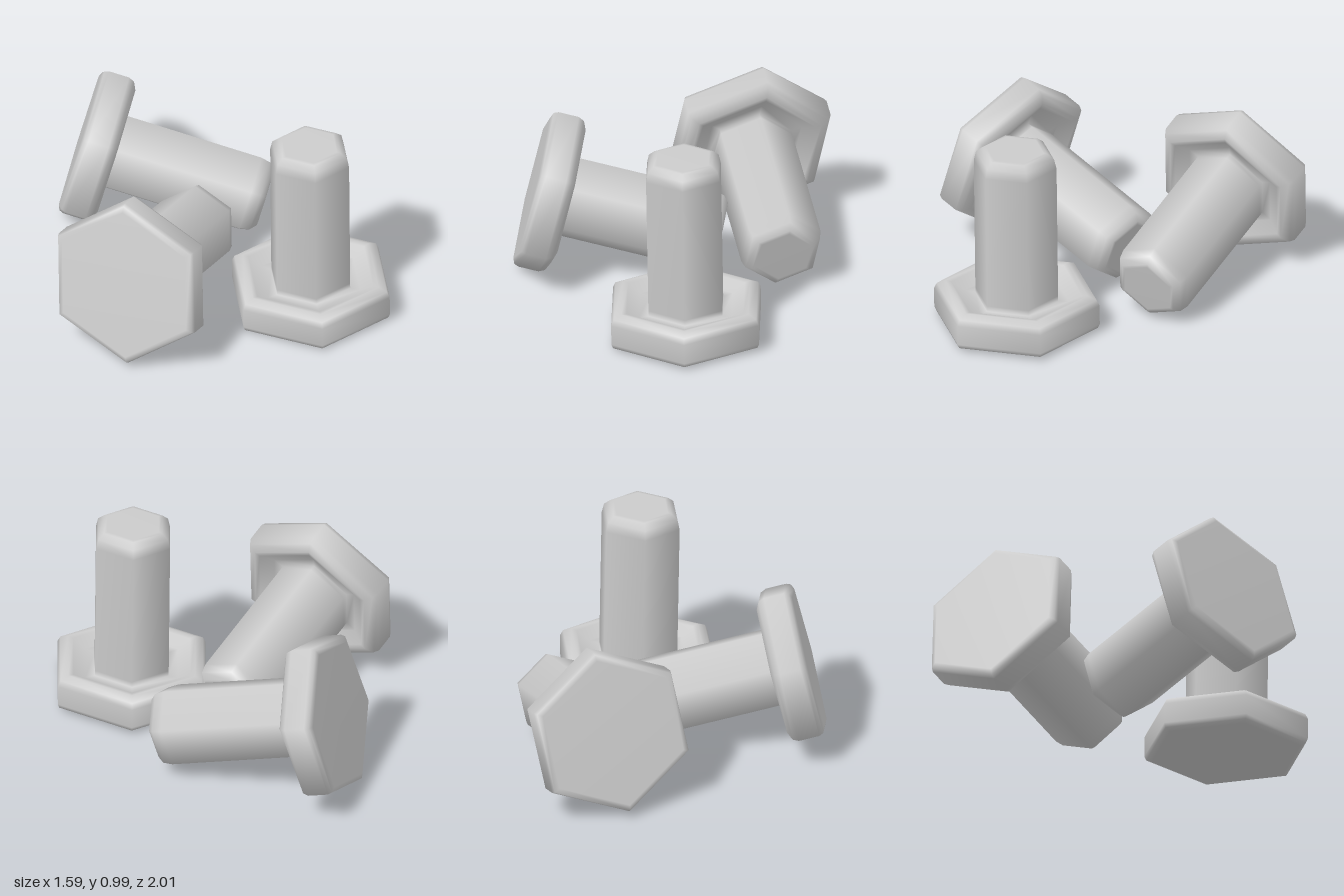
import * as THREE from 'three';

// Half cross-section of a bolt: [radius to a corner, height along the axis]
const PROFILE = [
  [0, 0], [0.39, 0], [0.42, 0.012], [0.43, 0.035],   // underside and lower bevel of head
  [0.43, 0.14], [0.415, 0.17], [0.37, 0.19],         // head side and rim
  [0.34, 0.185], [0.27, 0.145], [0.215, 0.14],       // shallow recess around the shaft
  [0.215, 0.17], [0.215, 0.9], [0.203, 0.95],        // shaft
  [0.17, 0.978], [0.15, 0.98], [0, 0.98],            // rounded tip
].map(([r, y]) => new THREE.Vector2(r, y));

const HEAD_MIDDLE = 0.095;

// One hexagonal bolt: head centre, axis from head to tip, direction of one head corner
function makeBolt(name, geometry, material, head, axis, corner) {
  const y = new THREE.Vector3(...axis).normalize();
  const z = new THREE.Vector3(...corner);
  z.addScaledVector(y, -z.dot(y)).normalize();
  const x = new THREE.Vector3().crossVectors(y, z);
  const bolt = new THREE.Mesh(geometry, material);
  bolt.name = name;
  bolt.quaternion.setFromRotationMatrix(new THREE.Matrix4().makeBasis(x, y, z));
  bolt.position.set(...head).addScaledVector(y, -HEAD_MIDDLE);
  return bolt;
}

export function createModel() {
  const group = new THREE.Group();
  group.name = 'bolts';
  const material = new THREE.MeshStandardMaterial({ color: 0xcccccc });
  const geometry = new THREE.LatheGeometry(PROFILE, 6);

  group.add(
    // standing on its head
    makeBolt('uprightBolt', geometry, material,
      [0.32, 0.105, 0.59], [-0.016, 1, 0.004], [0.983, 0, 0.184]),
    // lying, resting on head and tip
    makeBolt('rightLyingBolt', geometry, material,
      [-0.572, 0.43, 0.172], [0.929, -0.232, -0.288], [0.185, 0.966, -0.185]),
    makeBolt('backLyingBolt', geometry, material,
      [0.17, 0.43, -0.715], [0.517, -0.253, 0.817], [0.25, 0.959, 0.135]),
  );
  return group;
}
